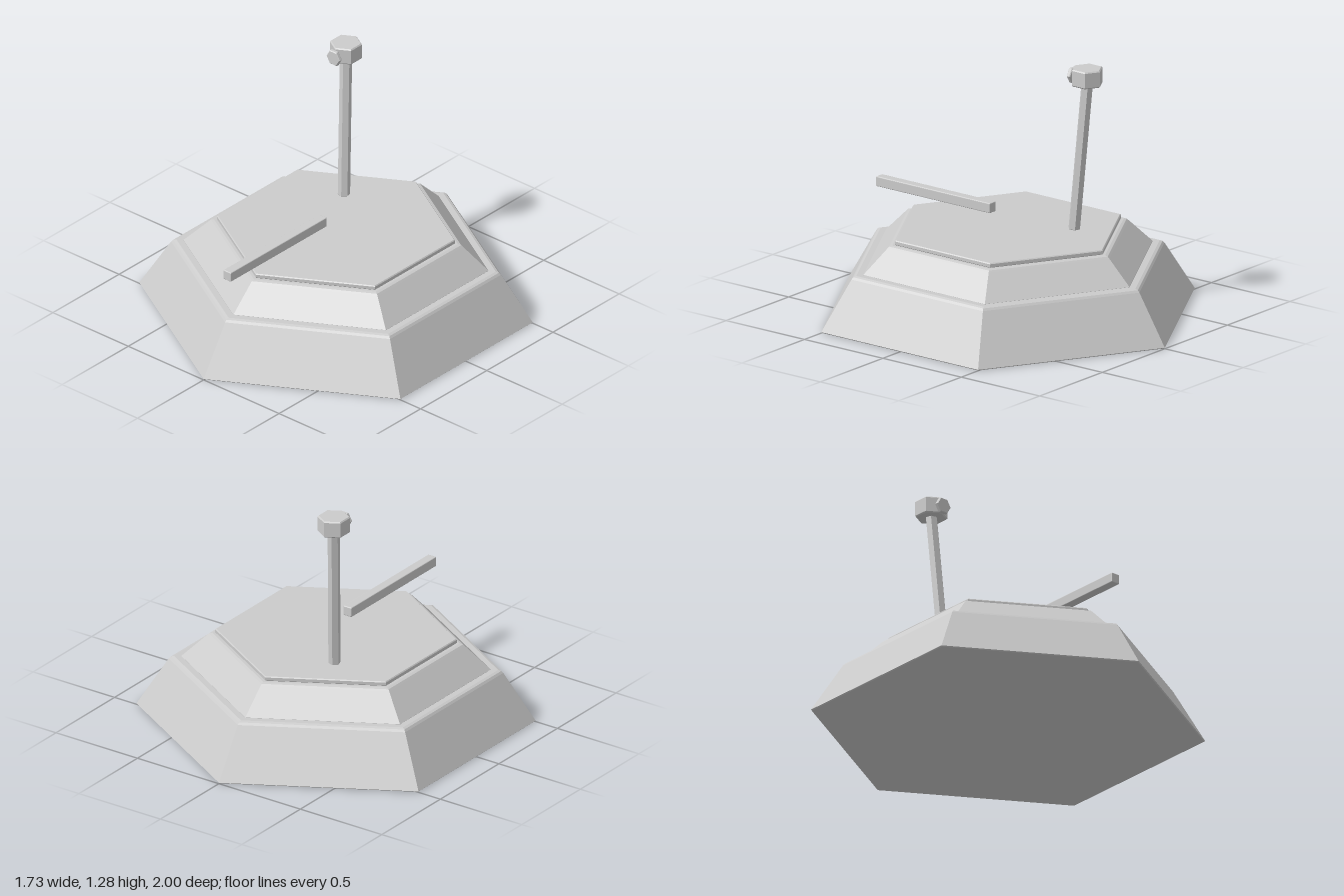
import * as THREE from 'three';
import { RoundedBoxGeometry } from 'three/addons/geometries/RoundedBoxGeometry.js';

const material = new THREE.MeshStandardMaterial({ color: 0xcccccc, flatShading: true });

function add(parent, name, geometry) {
  const mesh = new THREE.Mesh(geometry, material);
  mesh.name = name;
  parent.add(mesh);
  return mesh;
}

// Six-sided solid turned from [radius, height] pairs, corners on +z and -z
function hexSolid(profile) {
  const closed = [[0, profile[0][1]], ...profile, [0, profile.at(-1)[1]]];
  return new THREE.LatheGeometry(closed.map(([r, y]) => new THREE.Vector2(r, y)), 6);
}

// Straight six-sided prism with small bevels at both ends
function hexPrism(r, y0, y1, b) {
  return hexSolid([[r - b, y0], [r, y0 + b], [r, y1 - b], [r - b, y1]]);
}

export function createModel() {
  const model = new THREE.Group();
  model.name = 'hexagonalPlatform';

  // Stepped base
  add(model, 'lowerTier', hexSolid([[0.994, 0], [1, 0.005], [0.838, 0.261], [0.828, 0.272], [0.812, 0.277]]));
  add(model, 'upperTier', hexSolid([[0.775, 0.272], [0.775, 0.278], [0.646, 0.401], [0.636, 0.41], [0.62, 0.414]]));
  add(model, 'topPlate', hexPrism(0.605, 0.412, 0.438, 0.005));

  // Leaning post
  const foot = new THREE.Vector3(-0.187, 0.437, -0.273);
  const tip = new THREE.Vector3(-0.222, 1.2, -0.328);
  const lean = tip.clone().sub(foot);
  const post = new THREE.Group();
  post.name = 'post';
  post.position.copy(foot);
  post.quaternion.setFromUnitVectors(new THREE.Vector3(0, 1, 0), lean.clone().normalize());
  model.add(post);
  add(post, 'postShaft', hexPrism(0.031, 0, lean.length(), 0.003)).rotation.y = Math.PI / 12;

  // Post head with a knob facing forward
  add(model, 'postHead', hexPrism(0.082, 1.192, 1.28, 0.006)).position.set(-0.222, 0, -0.328);
  const knob = add(model, 'headKnob', hexPrism(0.044, 0, 0.022, 0.004));
  knob.geometry.rotateY(Math.PI / 6).rotateX(Math.PI / 2);
  knob.position.set(-0.222, 1.229, -0.251);

  // Bar hovering over the front corner
  add(model, 'floatingBar', new RoundedBoxGeometry(0.05, 0.052, 0.727, 2, 0.005)).position.set(0, 0.523, 0.46);

  return model;
}
